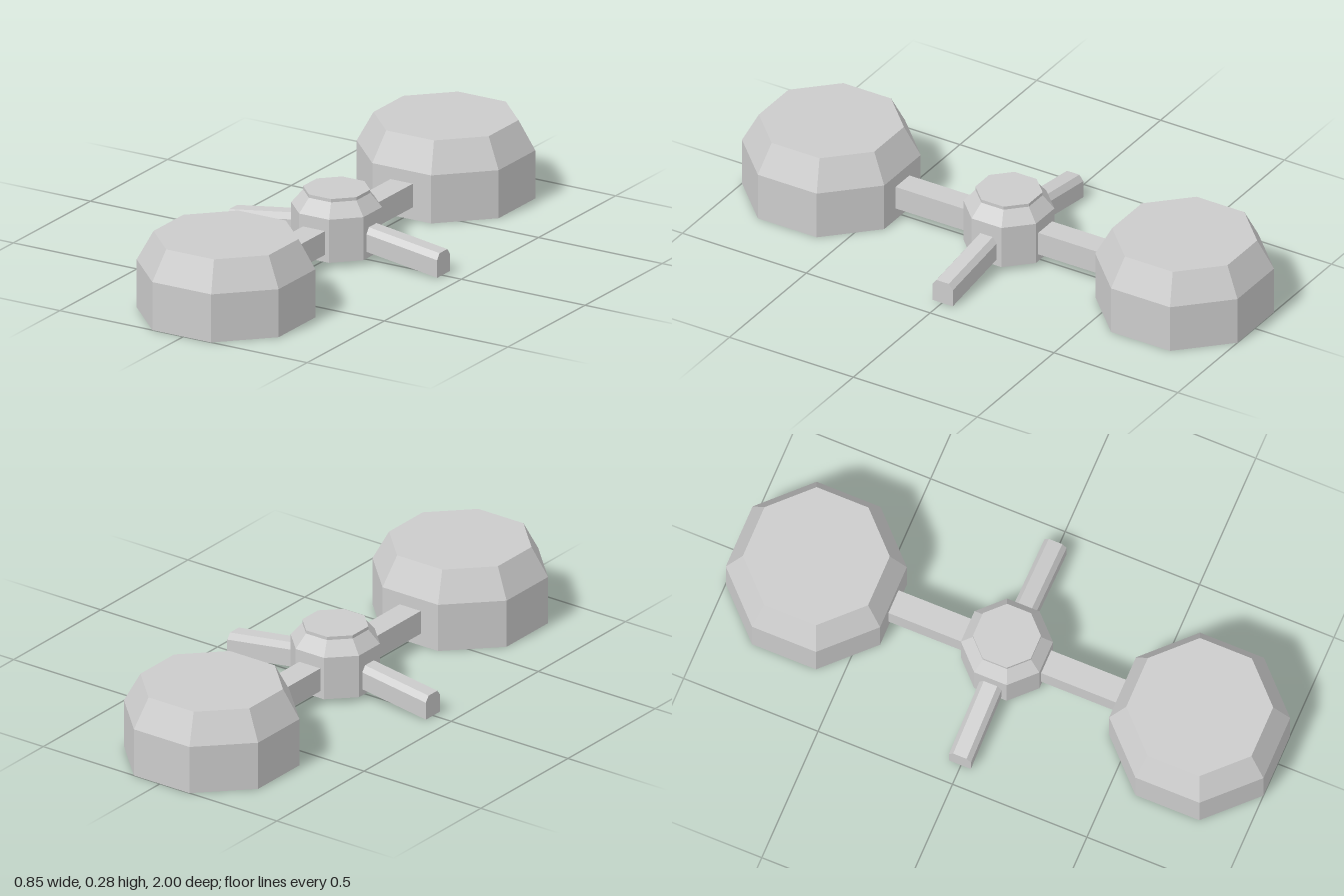
import * as THREE from 'three';

const CX = -0.007; // shared centre line of the pods and hub
const material = new THREE.MeshStandardMaterial({ color: 0xcccccc, flatShading: true });

function addMesh(parent, name, geometry, x = 0, y = 0, z = 0) {
  const mesh = new THREE.Mesh(geometry, material);
  mesh.name = name;
  mesh.position.set(x, y, z);
  parent.add(mesh);
  return mesh;
}

// Closed octagonal solid from [apothem, y] rings, with flats facing x and z
function octagon(rings) {
  const k = 1 / Math.cos(Math.PI / 8);
  const points = rings.map(([a, y]) => new THREE.Vector2(a * k, y));
  points.unshift(new THREE.Vector2(0, rings[0][1]));
  points.push(new THREE.Vector2(0, rings[rings.length - 1][1]));
  return new THREE.LatheGeometry(points, 8, Math.PI / 8);
}

// Side arm: chamfered bar along +x, drooping towards its tip
function sideArmGeometry(length) {
  const s = new THREE.Shape();
  s.moveTo(-0.041, 0.002);
  s.lineTo(0.041, 0.002);
  s.lineTo(0.041, 0.066);
  s.lineTo(0.025, 0.087);
  s.lineTo(-0.025, 0.087);
  s.lineTo(-0.041, 0.066);
  const g = new THREE.ExtrudeGeometry(s, { depth: length, bevelEnabled: false });
  g.rotateY(Math.PI / 2);
  const p = g.attributes.position;
  for (let i = 0; i < p.count; i++) p.setY(i, p.getY(i) + 0.142 * (length - p.getX(i)));
  g.computeVertexNormals();
  return g;
}

export function createModel() {
  const model = new THREE.Group();
  model.name = 'twinPodCraft';

  // Central hub with a thin lid
  addMesh(model, 'hub', octagon([[0.146, 0.018], [0.146, 0.175], [0.108, 0.224]]), CX, 0, -0.004);
  addMesh(model, 'hubLid', octagon([[0.108, 0.222], [0.108, 0.236]]), CX, 0, -0.004);

  // Front and back pods with their connecting beams
  const podGeometry = octagon([[0.287, 0], [0.287, 0.175], [0.233, 0.282]]);
  const beamGeometry = new THREE.BoxGeometry(0.09, 0.086, 0.33);
  for (const [name, s] of [['front', 1], ['back', -1]]) {
    addMesh(model, name + 'Pod', podGeometry, CX, 0, s * 0.713);
    addMesh(model, name + 'Beam', beamGeometry, CX, 0.088, s * 0.265);
  }

  // Left and right drooping arms
  const armGeometry = sideArmGeometry(0.325);
  addMesh(model, 'leftArm', armGeometry, 0.1, 0, -0.004);
  addMesh(model, 'rightArm', armGeometry, -0.1, 0, -0.004).rotation.y = Math.PI;

  return model;
}
